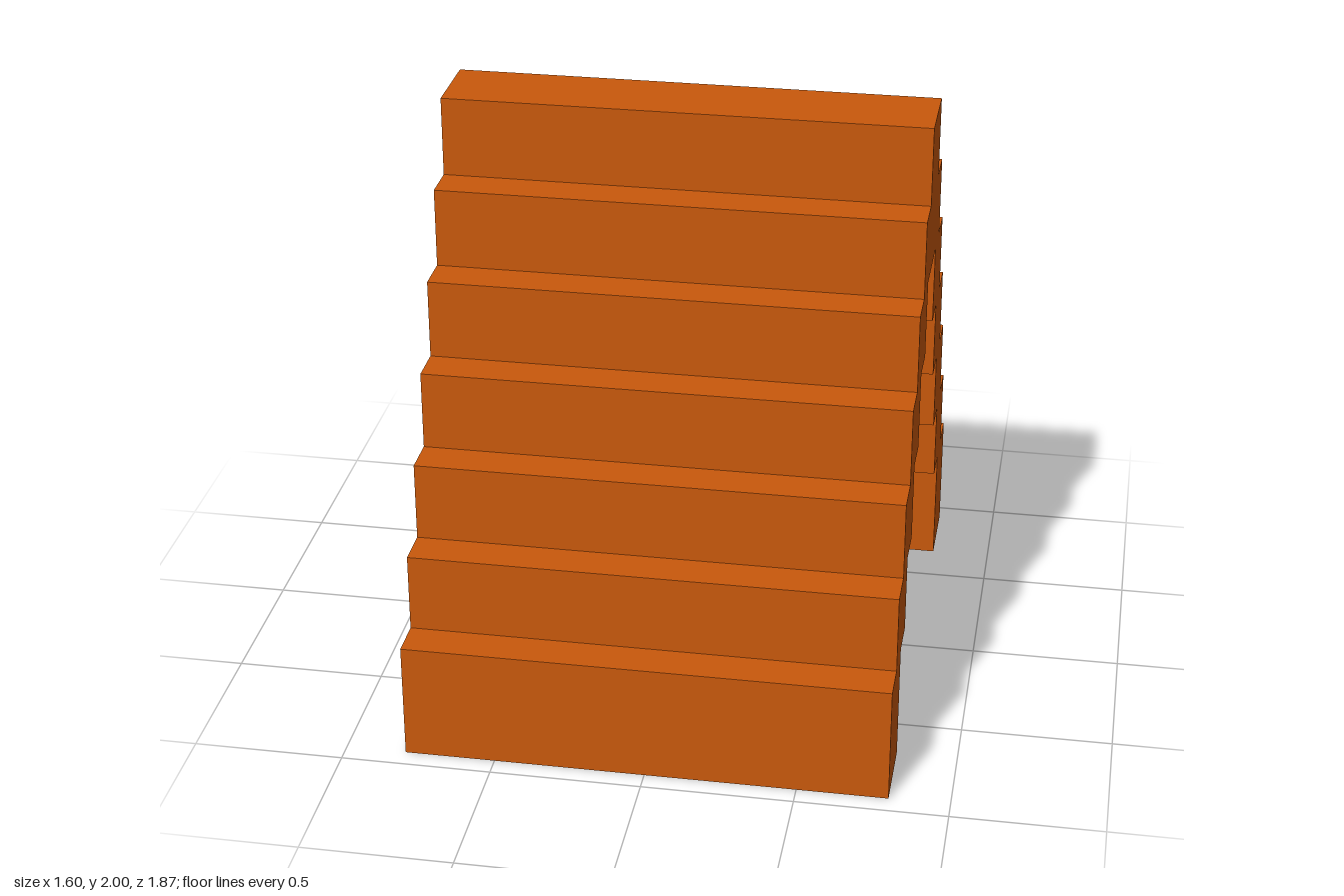
import * as THREE from 'three';

const U = 2 / 15; // stair grid unit: 1 deep, 2 high per step
const WIDTH = 12 * U;

export function createModel() {
  const group = new THREE.Group();
  group.name = 'steppedArch';
  const orange = new THREE.MeshStandardMaterial({ color: 0xc9590c });
  orange.name = 'orange';

  // One half of the stepped profile: [z, y] in grid units
  const outer = [[7, 0]];
  for (let i = 0; i < 7; i++) {
    outer.push([7 - i, 3 + 2 * i]);
    if (i < 6) outer.push([6 - i, 3 + 2 * i]);
  }
  const inner = [[5, 0]];
  for (let i = 0; i < 5; i++) {
    inner.push([5 - i, 3 + 2 * i]);
    if (i < 4) inner.push([4 - i, 3 + 2 * i]);
  }

  // Closed outline: up and over the outside, back along the underside
  const mirror = (pts) => pts.map(([z, y]) => [-z, y]).reverse();
  const outline = [...outer, ...mirror(outer), ...mirror(inner).reverse(), ...[...inner].reverse()];
  const shape = new THREE.Shape(outline.map(([z, y]) => new THREE.Vector2(z * U, y * U)));

  // Extrude across the width
  const geometry = new THREE.ExtrudeGeometry(shape, { depth: WIDTH, bevelEnabled: false });
  geometry.translate(0, 0, -WIDTH / 2);
  geometry.rotateY(Math.PI / 2);
  const roof = new THREE.Mesh(geometry, orange);
  roof.name = 'steppedRoof';
  group.add(roof);
  return group;
}
